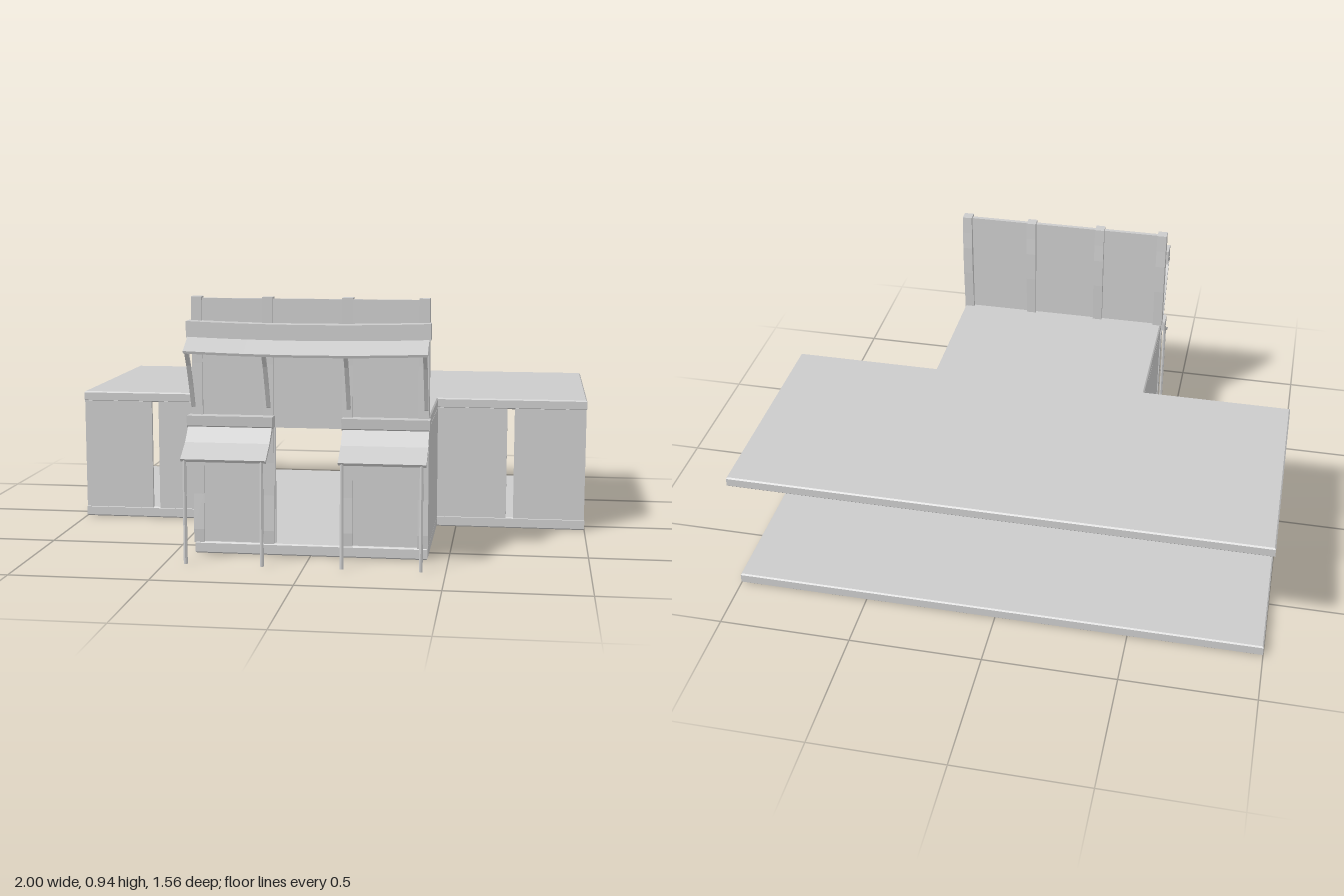
import * as THREE from 'three';

const material = new THREE.MeshStandardMaterial({ color: 0xcccccc, flatShading: true, side: THREE.DoubleSide });

function add(parent, name, geometry) {
  const mesh = new THREE.Mesh(geometry, material);
  mesh.name = name;
  parent.add(mesh);
  return mesh;
}

// Box given by its limits on each axis
function block(parent, name, [x0, x1], [y0, y1], [z0, z1]) {
  const g = new THREE.BoxGeometry(x1 - x0, y1 - y0, z1 - z0);
  g.translate((x0 + x1) / 2, (y0 + y1) / 2, (z0 + z1) / 2);
  return add(parent, name, g);
}

// Side profile of [z, y] points swept from x0 to x1, with an optional sag at mid span
function sweep(parent, name, profile, x0, x1, sag = 0) {
  const shape = new THREE.Shape(profile.map(([z, y]) => new THREE.Vector2(z, y)));
  const g = new THREE.ExtrudeGeometry(shape, { depth: x1 - x0, steps: sag ? 12 : 1, bevelEnabled: false });
  g.rotateY(-Math.PI / 2).translate(x1, 0, 0);
  const p = g.attributes.position;
  for (let i = 0; i < p.count; i++) {
    const t = (2 * p.getX(i) - x0 - x1) / (x1 - x0);
    p.setY(i, p.getY(i) - sag * (1 - t * t));
  }
  g.computeVertexNormals();
  return add(parent, name, g);
}

// T-shaped slab with softened edges
function slab(parent, name, y0, y1, front) {
  const b = 0.005;
  const outline = [[-1, -0.78], [1, -0.78], [1, 0.07], [0.425, 0.07], [0.425, front],
    [-0.425, front], [-0.425, 0.07], [-1, 0.07]];
  const shape = new THREE.Shape(outline.map(([x, z]) => new THREE.Vector2(x, -z)));
  const g = new THREE.ExtrudeGeometry(shape, {
    depth: y1 - y0 - 2 * b, bevelThickness: b, bevelSize: b, bevelOffset: -b, bevelSegments: 1,
  });
  g.rotateX(-Math.PI / 2).translate(0, y0 + b, 0);
  return add(parent, name, g);
}

export function createModel() {
  const model = new THREE.Group();
  model.name = 'building';

  slab(model, 'floorSlab', 0, 0.043, 0.612);
  slab(model, 'roofSlab', 0.472, 0.512, 0.6);

  // Walls of the projecting entrance and of the wide rear hall
  const wallY = [0.04, 0.475];
  const walls = new THREE.Group();
  walls.name = 'walls';
  model.add(walls);
  for (const s of [-1, 1]) {
    const span = (a, b) => (s > 0 ? [a, b] : [-b, -a]);
    block(walls, 'sideWall', span(0.413, 0.425), wallY, [0.056, 0.6]);
    block(walls, 'hallWallInner', span(0.42, 0.695), wallY, [0.056, 0.07]);
    block(walls, 'hallWallOuter', span(0.723, 0.998), wallY, [0.056, 0.07]);
    block(walls, 'entranceWall', span(0.128, 0.42), wallY, [0.586, 0.6]);
  }

  // Raised facade panel above the roof
  block(model, 'upperFacade', [-0.42, 0.42], [0.47, 0.934], [0.586, 0.602]);

  // Slightly bowed posts, running from floor to parapet on both sides of the facade
  const lowerPost = [[0.575, 0.04], [0.609, 0.04], [0.613, 0.09], [0.606, 0.22], [0.605, 0.34], [0.61, 0.475], [0.575, 0.475]];
  const upperPost = [[0.574, 0.51], [0.612, 0.51], [0.609, 0.7], [0.613, 0.94], [0.572, 0.94],
    [0.57, 0.87], [0.565, 0.8], [0.566, 0.68]];
  for (const x of [-0.41, -0.152, 0.135, 0.407]) {
    sweep(model, 'lowerPost', lowerPost, x - 0.019, x + 0.019);
    sweep(model, 'upperPost', upperPost, x - 0.019, x + 0.019);
  }

  // Upper canopy: sagging ledge, sloping sheet and diagonal braces
  const upper = new THREE.Group();
  upper.name = 'upperCanopy';
  model.add(upper);
  sweep(upper, 'upperLedge', [[0.6, 0.797], [0.66, 0.797], [0.66, 0.856], [0.6, 0.856]], -0.438, 0.433, 0.009);
  sweep(upper, 'upperAwning', [[0.645, 0.797], [0.655, 0.783], [0.718, 0.749], [0.73, 0.748], [0.733, 0.757], [0.66, 0.8]],
    -0.433, 0.428, 0.009);
  for (const x of [-0.425, -0.15, 0.14, 0.417]) {
    sweep(upper, 'brace', [[0.606, 0.54], [0.617, 0.545], [0.651, 0.625], [0.686, 0.7], [0.718, 0.752],
      [0.705, 0.757], [0.672, 0.7], [0.638, 0.625]], x - 0.007, x + 0.007);
  }

  // Pair of porch canopies, each with a ledge, awning and two slim posts
  for (const [x0, x1] of [[-0.437, -0.132], [0.122, 0.43]]) {
    const porch = new THREE.Group();
    porch.name = 'porch';
    model.add(porch);
    sweep(porch, 'porchLedge', [[0.6, 0.472], [0.645, 0.472], [0.657, 0.48], [0.66, 0.516], [0.6, 0.514]], x0 - 0.003, x1 + 0.003);
    sweep(porch, 'porchAwning', [[0.628, 0.476], [0.64, 0.457], [0.69, 0.418], [0.774, 0.37], [0.78, 0.38], [0.7, 0.427], [0.65, 0.476]], x0, x1);
    for (const x of [x0 + 0.013, x1 - 0.017]) {
      const g = new THREE.CylinderGeometry(0.007, 0.0075, 0.378, 6);
      g.translate(x, 0.189, 0.771);
      add(porch, 'porchPost', g);
    }
  }
  return model;
}
